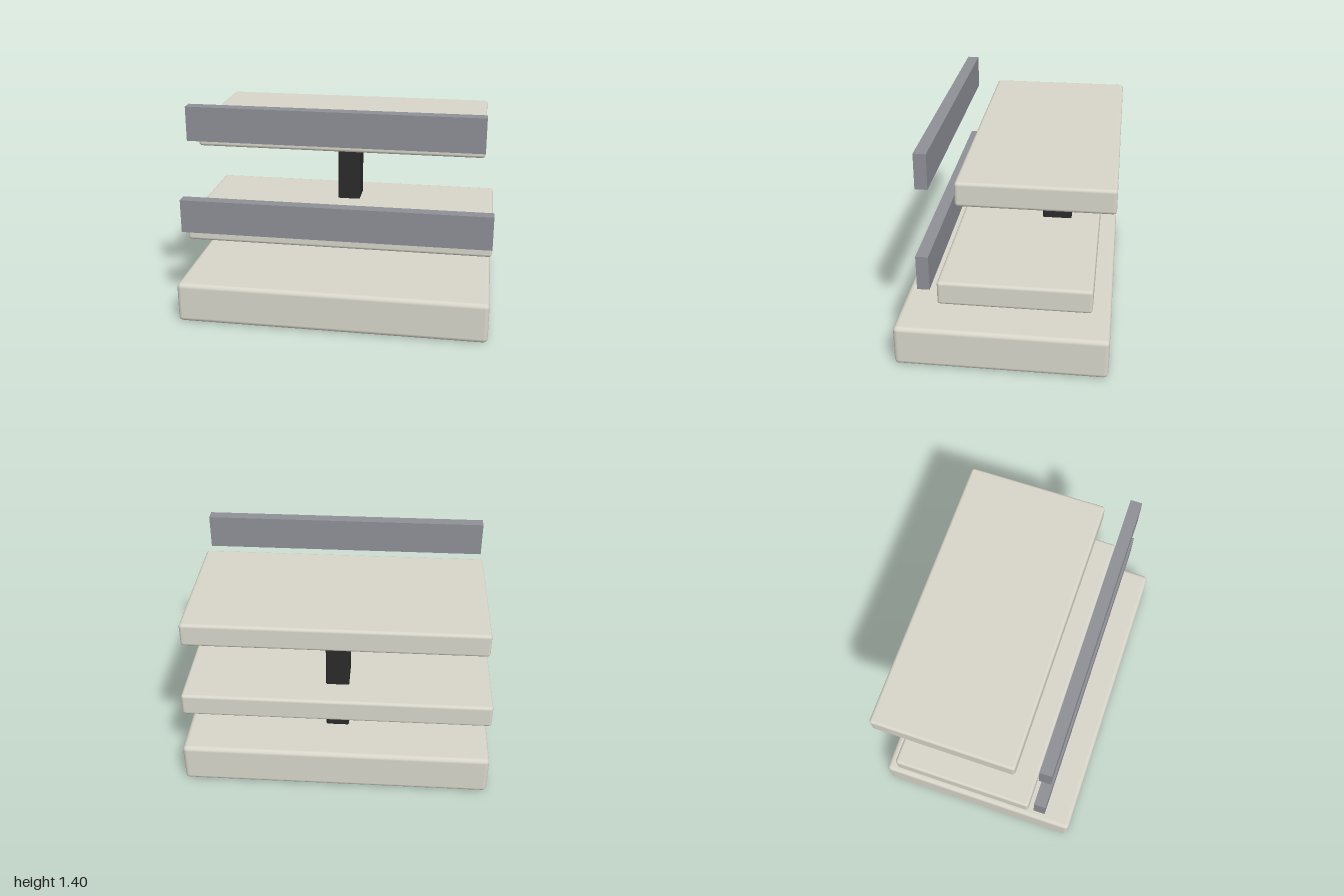
import * as THREE from 'three';
import { RoundedBoxGeometry } from 'three/addons/geometries/RoundedBoxGeometry.js';

export function createModel() {
  const group = new THREE.Group();
  group.name = 'tieredStand';

  const mat = (name, color) => {
    const m = new THREE.MeshStandardMaterial({ color });
    m.name = name;
    return m;
  };
  const cream = mat('cream', 0xd8d6ca);
  const grey = mat('grey', 0x8e9097);
  const black = mat('black', 0x2b2b2b);

  // Box centred on x, given half width and y, z ranges; radius 0 keeps it sharp
  const addBox = (name, material, halfX, [y0, y1], [z0, z1], radius = 0) => {
    const size = [halfX * 2, y1 - y0, z1 - z0];
    const geometry = radius
      ? new RoundedBoxGeometry(...size, 2, radius)
      : new THREE.BoxGeometry(...size);
    const mesh = new THREE.Mesh(geometry, material);
    mesh.name = name;
    mesh.position.set(0, (y0 + y1) / 2, (z0 + z1) / 2);
    group.add(mesh);
  };

  // Heavy base and the two shelves
  addBox('base', cream, 1, [0, 0.267], [-0.664, 0.664], 0.03);
  addBox('lowerShelf', cream, 1, [0.46, 0.612], [-0.553, 0.375], 0.02);
  addBox('upperShelf', cream, 0.927, [1.081, 1.233], [-0.664, 0.264], 0.02);

  // Central post, in one segment below each shelf
  addBox('lowerPost', black, 0.076, [0.27, 0.5], [-0.364, -0.17], 0.012);
  addBox('upperPost', black, 0.076, [0.57, 1.1], [-0.364, -0.17], 0.012);

  // Front rails standing clear of the shelves
  addBox('lowerRail', grey, 1, [0.56, 0.78], [0.415, 0.491]);
  addBox('upperRail', grey, 0.927, [1.181, 1.401], [0.415, 0.491]);

  return group;
}
